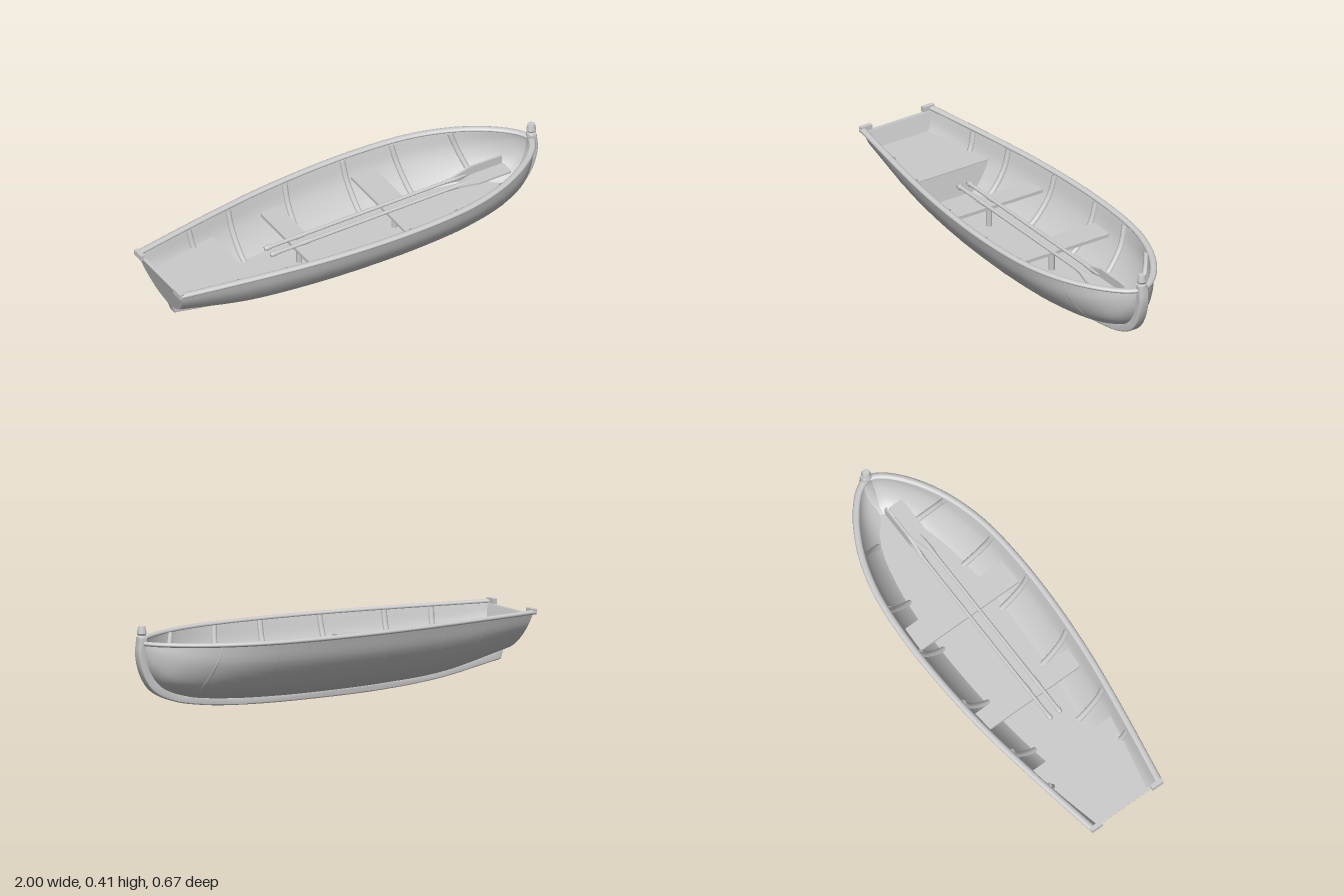
import * as THREE from 'three';
import { toCreasedNormals } from 'three/addons/utils/BufferGeometryUtils.js';

const material = new THREE.MeshStandardMaterial({ color: 0xcccccc, side: THREE.DoubleSide });
const SHEER = 0.325;
const lerp = THREE.MathUtils.lerp;
const curve = (pts) => new THREE.CatmullRomCurve3(pts.map(([x, y]) => new THREE.Vector3(x, y, 0)));

// Matching stations: keel line (x, y), gunwale line (x, half beam)
const keelLine = curve([[-0.935, 0.135], [-0.6, 0.057], [-0.3, 0.033], [0, 0.024], [0.3, 0.024], [0.55, 0.035],
  [0.75, 0.06], [0.885, 0.112], [0.948, 0.19], [0.97, 0.27], [0.972, 0.325]]);
const gunwaleLine = curve([[-0.99, 0.187], [-0.62, 0.25], [-0.3, 0.295], [0, 0.317], [0.27, 0.317], [0.5, 0.294],
  [0.68, 0.242], [0.81, 0.176], [0.9, 0.108], [0.95, 0.052], [0.968, 0.014]]);
// Cross-section as fractions (half beam, height)
const section = curve([[0, 0], [0.36, 0.11], [0.62, 0.285], [0.89, 0.65], [1, 1]]);

// u runs stern to bow, v from gunwale (-1) through keel (0) to gunwale (1)
function hullPoint(u, v, inset = 0) {
  const k = keelLine.getPoint(u), g = gunwaleLine.getPoint(u), s = section.getPoint(Math.abs(v));
  const bottom = Math.min(k.y + inset, SHEER);
  return new THREE.Vector3(lerp(k.x, g.x, s.y) - inset * u ** 8, lerp(bottom, SHEER, s.y),
    Math.sign(v) * s.x * Math.max(g.y - inset, 0));
}

function bisect(test) {
  let a = 0, b = 1;
  for (let i = 0; i < 18; i++) {
    const m = (a + b) / 2;
    if (test(m)) a = m; else b = m;
  }
  return a;
}

// Half width at a given x and height, ending inside the hull's thickness
function halfWidth(x, y) {
  const at = (u) => hullPoint(u, bisect((v) => hullPoint(u, v, 0.008).y < y), 0.008);
  return at(bisect((u) => at(u).x < x)).z;
}

function surface(nu, nv, point, flip = false) {
  const pos = [], idx = [];
  for (let i = 0; i <= nu; i++) for (let j = 0; j <= nv; j++) pos.push(...point(i / nu, j / nv).toArray());
  for (let i = 0; i < nu; i++) for (let j = 0; j < nv; j++) {
    const a = i * (nv + 1) + j, b = a + nv + 1;
    if (flip) idx.push(a, a + 1, b, b, a + 1, b + 1);
    else idx.push(a, b, a + 1, b, b + 1, a + 1);
  }
  const geo = new THREE.BufferGeometry();
  geo.setAttribute('position', new THREE.Float32BufferAttribute(pos, 3));
  geo.setIndex(idx);
  geo.computeVertexNormals();
  return geo;
}

// Horizontal board with its top at y, trimmed to the hull along its lower edge
function board(x0, x1, y, thickness, steps) {
  const left = [], right = [];
  for (let i = 0; i <= steps; i++) {
    const x = lerp(x0, x1, i / steps), w = halfWidth(x, y - thickness);
    left.push(new THREE.Vector2(x, w));
    right.unshift(new THREE.Vector2(x, -w));
  }
  const geo = new THREE.ExtrudeGeometry(new THREE.Shape([...left, ...right]), { depth: thickness, bevelEnabled: false });
  return geo.rotateX(Math.PI / 2).translate(0, y, 0);
}

export function createModel() {
  const model = new THREE.Group();
  const add = (name, geo, parent = model) => {
    const mesh = new THREE.Mesh(geo, material);
    mesh.name = name;
    parent.add(mesh);
    return mesh;
  };

  // Hull skins
  add('hullOuter', surface(64, 40, (u, t) => hullPoint(u, t * 2 - 1)));
  add('hullInner', surface(64, 40, (u, t) => hullPoint(u, t * 2 - 1, 0.012), true));

  // Raked transom: stern section extruded, then sheared to the rake
  const outline = [];
  for (let i = -16; i <= 16; i++) {
    const p = hullPoint(0, i / 16);
    outline.push(new THREE.Vector2(p.z, Math.min(p.y, 0.318)));
  }
  const transom = new THREE.ExtrudeGeometry(new THREE.Shape(outline), { depth: 0.016, bevelEnabled: false });
  transom.rotateY(Math.PI / 2);
  const tp = transom.attributes.position;
  for (let i = 0; i < tp.count; i++) {
    tp.setX(i, tp.getX(i) + lerp(-0.935, -0.99, (tp.getY(i) - 0.135) / (SHEER - 0.135)));
  }
  transom.computeVertexNormals();
  add('transom', toCreasedNormals(transom, 0.5));

  // Keel sweeping up into the stem post
  const lower = curve([[-0.915, 0.1], [-0.6, 0.041], [-0.3, 0.014], [0, 0.005], [0.4, 0.007], [0.65, 0.024],
    [0.82, 0.057], [0.92, 0.108], [0.97, 0.18], [0.993, 0.27], [0.987, 0.35]]);
  const upper = curve([[0.963, 0.35], [0.964, 0.27], [0.942, 0.2], [0.89, 0.125], [0.8, 0.08], [0.65, 0.048],
    [0.4, 0.031], [0, 0.029], [-0.3, 0.038], [-0.6, 0.064], [-0.93, 0.14]]);
  const side = [...lower.getPoints(50), ...upper.getPoints(50)].map((p) => new THREE.Vector2(p.x, p.y));
  const keel = new THREE.ExtrudeGeometry(new THREE.Shape(side),
    { depth: 0.03, bevelThickness: 0.008, bevelSize: 0.006, bevelSegments: 4 });
  add('keelAndStem', toCreasedNormals(keel.translate(0, 0, -0.015), 0.7));

  // Shaped head on the stem post
  const head = [[0, 0.34], [0.022, 0.34], [0.022, 0.355], [0.017, 0.363], [0.022, 0.372], [0.021, 0.38],
    [0.016, 0.403], [0, 0.403]].map(([r, y]) => new THREE.Vector2(r, y));
  add('stemHead', toCreasedNormals(new THREE.LatheGeometry(head, 20), 0.6)).position.x = 0.975;

  // Gunwale rails, stern blocks and ribs on both sides
  for (const s of [1, -1]) {
    const path = new THREE.CatmullRomCurve3(Array.from({ length: 31 }, (_, i) => hullPoint(i / 30, s).setY(0)));
    add('gunwale', new THREE.TubeGeometry(path, 80, 0.016, 12).scale(1, 0.66, 1).translate(0, SHEER, 0));
    add('sternBlock', new THREE.BoxGeometry(0.02, 0.027, 0.06)).position.set(-0.99, 0.328, s * 0.17);

    for (const x of [-0.7, -0.47, -0.15, 0.16, 0.41, 0.68]) {
      const u = bisect((t) => gunwaleLine.getPoint(t).x < x);
      const pts = Array.from({ length: 9 }, (_, i) => hullPoint(u, s * lerp(0.35, 0.98, i / 8), 0.014));
      add('rib', new THREE.TubeGeometry(new THREE.CatmullRomCurve3(pts), 16, 0.014, 8));
    }
  }

  // Floor, thwarts with posts, and stern bench with its front panel
  add('floor', board(-0.6, 0.88, 0.108, 0.008, 30));
  for (const [a, b] of [[-0.3, -0.2], [0.19, 0.315]]) {
    add('thwart', board(a, b, 0.235, 0.016, 4));
    add('thwartPost', new THREE.CylinderGeometry(0.014, 0.014, 0.13, 12)).position.set((a + b) / 2, 0.16, 0);
  }
  add('sternBench', board(-0.948, -0.575, 0.236, 0.008, 10));
  add('benchFront', surface(6, 2, (t, w) => {
    const y = lerp(0.1, 0.23, t), x = lerp(-0.553, -0.575, t);
    return new THREE.Vector3(x, y, (w * 2 - 1) * halfWidth(x, y));
  }));

  // Oars lying along the thwarts, one blade flat and one on edge
  const blade = new THREE.Shape();
  blade.moveTo(0.54, -0.007);
  blade.lineTo(0.65, -0.037);
  blade.lineTo(0.81, -0.037);
  blade.quadraticCurveTo(0.82, -0.037, 0.82, -0.027);
  blade.lineTo(0.82, 0.027);
  blade.quadraticCurveTo(0.82, 0.037, 0.81, 0.037);
  blade.lineTo(0.65, 0.037);
  blade.lineTo(0.54, 0.007);
  const bladeGeo = new THREE.ExtrudeGeometry(blade, { depth: 0.01, bevelEnabled: false }).translate(0, 0, -0.005);
  const loom = [[0, -0.43], [0.01, -0.428], [0.013, -0.41], [0.009, -0.39], [0.009, -0.27], [0.011, -0.26],
    [0.011, -0.225], [0.009, -0.215], [0.008, 0.5], [0.012, 0.56], [0.009, 0.62], [0, 0.66]]
    .map(([r, x]) => new THREE.Vector2(r, x));
  const loomGeo = new THREE.LatheGeometry(loom, 12).rotateZ(-Math.PI / 2);
  for (const [z, roll] of [[-0.005, 0], [0.048, Math.PI / 2]]) {
    const oar = new THREE.Group();
    oar.name = 'oar';
    add('oarShaft', loomGeo, oar);
    add('oarBlade', bladeGeo, oar);
    oar.rotation.x = roll;
    oar.position.set(0, 0.247, z);
    model.add(oar);
  }
  return model;
}
